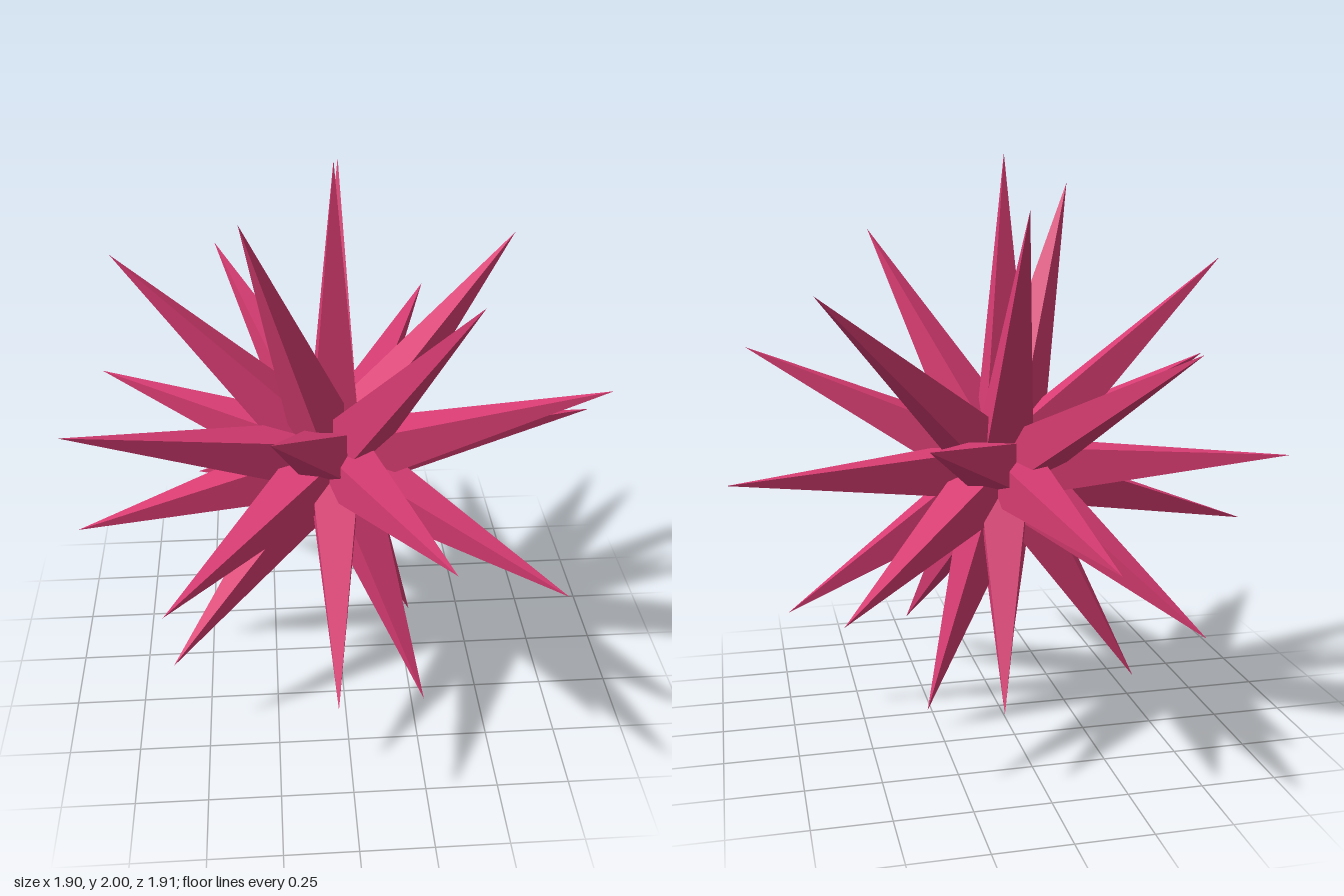
import * as THREE from 'three';

const COUNT = 28;
const GOLDEN_ANGLE = Math.PI * (3 - Math.sqrt(5));
const CENTRE = new THREE.Vector3(-0.02, 0.904, 0.01);

// Four-sided spike growing from the origin, tilted from +y, then turned about y
function spikeGeometry(length, tilt, azimuth) {
  return new THREE.ConeGeometry(0.136, length, 4, 1)
    .rotateY(Math.PI / 4)
    .translate(0, length / 2, 0)
    .rotateZ(-tilt)
    .rotateY(-azimuth);
}

export function createModel() {
  const model = new THREE.Group();
  model.name = 'spikyBall';
  const pink = new THREE.MeshStandardMaterial({ color: 0xd83c72, flatShading: true });
  pink.name = 'raspberry pink';

  // Spikes spread evenly along a golden-angle spiral, longest at the top
  const spikes = new THREE.Group();
  spikes.name = 'spikes';
  spikes.position.copy(CENTRE);
  for (let i = 0; i < COUNT; i++) {
    const height = 1 - (2 * i) / (COUNT - 1);
    const isPole = i === 0 || i === COUNT - 1;
    const length = 0.991 + 0.096 * height + (isPole ? 0.009 : 0);
    const azimuth = isPole ? 0 : i * GOLDEN_ANGLE;
    const spike = new THREE.Mesh(spikeGeometry(length, Math.acos(height), azimuth), pink);
    spike.name = `spike${i + 1}`;
    spikes.add(spike);
  }
  model.add(spikes);
  return model;
}
